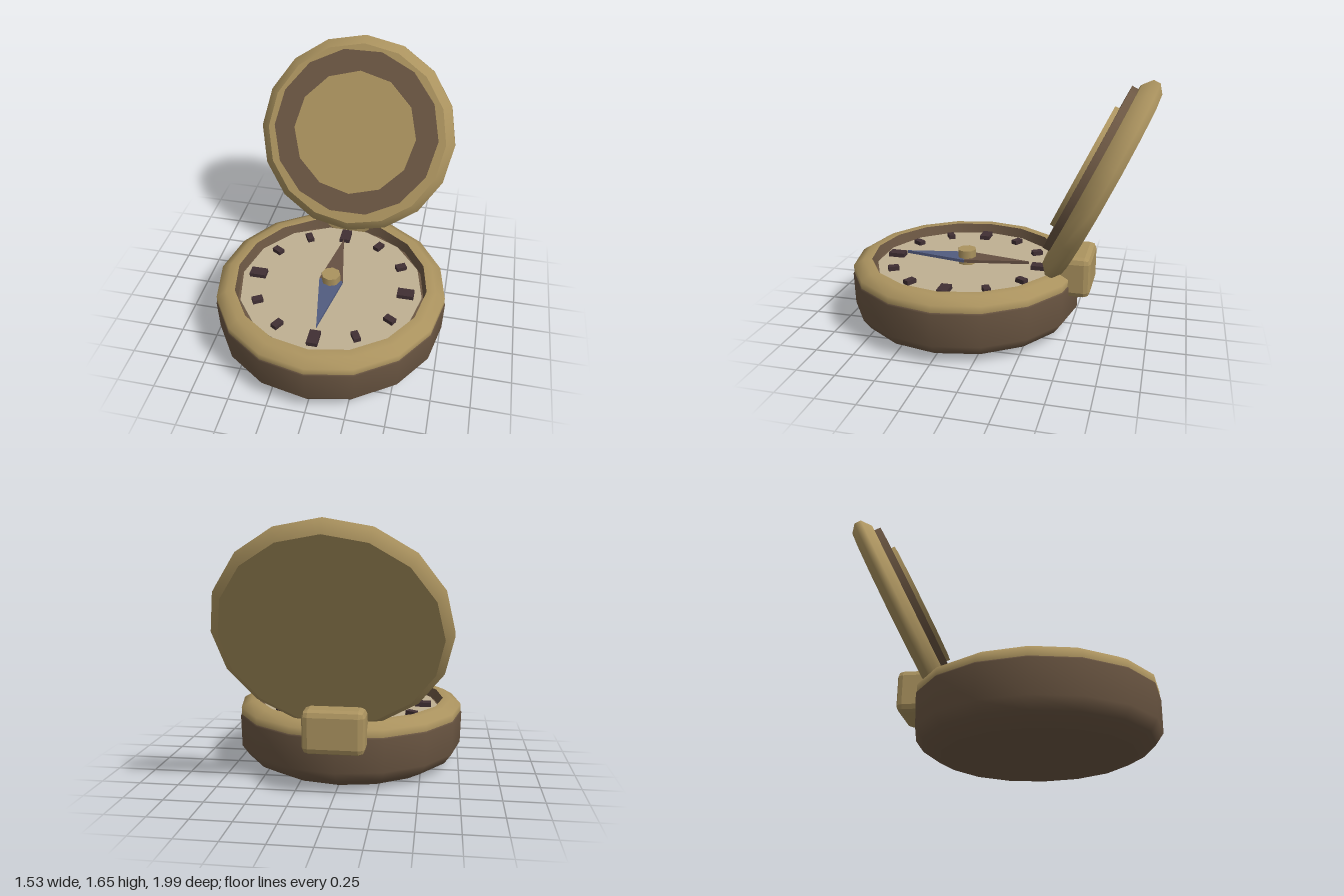
import * as THREE from 'three';
import { RoundedBoxGeometry } from 'three/addons/geometries/RoundedBoxGeometry.js';

const SIDES = 16;
const CENTRE_Z = 0.23;
const DIAL_Y = 0.375;

const mat = (name, color) => {
  const m = new THREE.MeshStandardMaterial({ color });
  m.name = name;
  return m;
};

export function createModel() {
  const brass = mat('brass', 0xab935f);
  const leather = mat('brown', 0x6c5743);
  const cream = mat('cream', 0xbfb092);
  const dark = mat('dark marks', 0x402f33);
  const rust = mat('north needle brown', 0x665042);
  const blue = mat('south needle blue', 0x525c80);

  const model = new THREE.Group();
  model.name = 'pocketCompass';

  const add = (parent, name, geometry, material, x = 0, y = 0, z = 0) => {
    const mesh = new THREE.Mesh(geometry, material);
    mesh.name = name;
    mesh.position.set(x, y, z);
    parent.add(mesh);
    return mesh;
  };
  // Each section is smooth in itself; joins between sections stay sharp.
  const turned = (parent, name, material, ...sections) => {
    const part = new THREE.Group();
    part.name = name;
    sections.forEach((s, i) => {
      const pts = s.map(([r, y]) => new THREE.Vector2(r, y));
      add(part, name + 'Section' + (i + 1), new THREE.LatheGeometry(pts, SIDES), material);
    });
    parent.add(part);
    return part;
  };
  const disc = (r, h, sides) => new THREE.CylinderGeometry(r, r, h, sides, 1, false, Math.PI / 2);

  // Case: bowl, brass rim and recessed well
  const base = new THREE.Group();
  base.name = 'base';
  base.position.z = CENTRE_Z;
  model.add(base);
  turned(base, 'caseBowl', leather,
    [[0, 0], [0.6, 0]],
    [[0.6, 0], [0.71, 0.06], [0.76, 0.13], [0.766, 0.34], [0.76, 0.35]]);
  turned(base, 'rim', brass,
    [[0.76, 0.35], [0.76, 0.397], [0.695, 0.435], [0.638, 0.435]]);
  turned(base, 'well', leather,
    [[0.638, 0.435], [0.622, 0.365]],
    [[0.622, 0.365], [0, 0.365]]);
  add(base, 'dial', disc(0.61, 0.02, 14), cream, 0, DIAL_Y - 0.01, 0);

  // Hour marks, larger at the four main points
  for (let i = 0; i < 12; i++) {
    const main = i % 3 === 0;
    const a = (i / 12) * Math.PI * 2;
    const box = new THREE.BoxGeometry(main ? 0.07 : 0.045, 0.03, main ? 0.11 : 0.07);
    const mark = add(base, main ? 'mainMark' : 'minorMark', box, dark,
      Math.sin(a) * 0.503, DIAL_Y + 0.014, Math.cos(a) * 0.503);
    mark.rotation.y = a;
  }

  // Needle halves and pivot
  const half = new THREE.Shape([
    new THREE.Vector2(-0.08, 0), new THREE.Vector2(0.08, 0), new THREE.Vector2(0, 0.43)]);
  const needle = new THREE.ExtrudeGeometry(half, { depth: 0.02, bevelEnabled: false });
  needle.rotateX(-Math.PI / 2);
  add(base, 'northNeedle', needle, rust, 0, 0.4, 0);
  add(base, 'southNeedle', needle, blue, 0, 0.4, 0).rotation.y = Math.PI;
  add(base, 'pivot', new THREE.CylinderGeometry(0.063, 0.063, 0.098, 8), brass, 0, 0.424, 0);

  // Hinge block with chamfered edges
  const hinge = new RoundedBoxGeometry(0.38, 0.27, 0.26, 1, 0.04);
  hinge.computeVertexNormals();
  add(model, 'hinge', hinge, brass, 0, 0.405, -0.5);

  // Open lid, leaning back, with its raised inner discs
  const lid = new THREE.Group();
  lid.name = 'lid';
  lid.position.set(0, 1.017, -0.656);
  lid.rotation.x = THREE.MathUtils.degToRad(64);
  model.add(lid);
  turned(lid, 'lidShell', brass,
    [[0, -0.066], [0.642, -0.066]],
    [[0.642, -0.066], [0.695, -0.025], [0.695, 0.02], [0.635, 0.07]],
    [[0.635, 0.07], [0, 0.07]]);
  add(lid, 'lidLining', disc(0.58, 0.055, 14), leather, 0, 0.0875, -0.02);
  add(lid, 'lidPlate', disc(0.428, 0.04, 12), brass, 0, 0.125, -0.022);

  return model;
}
